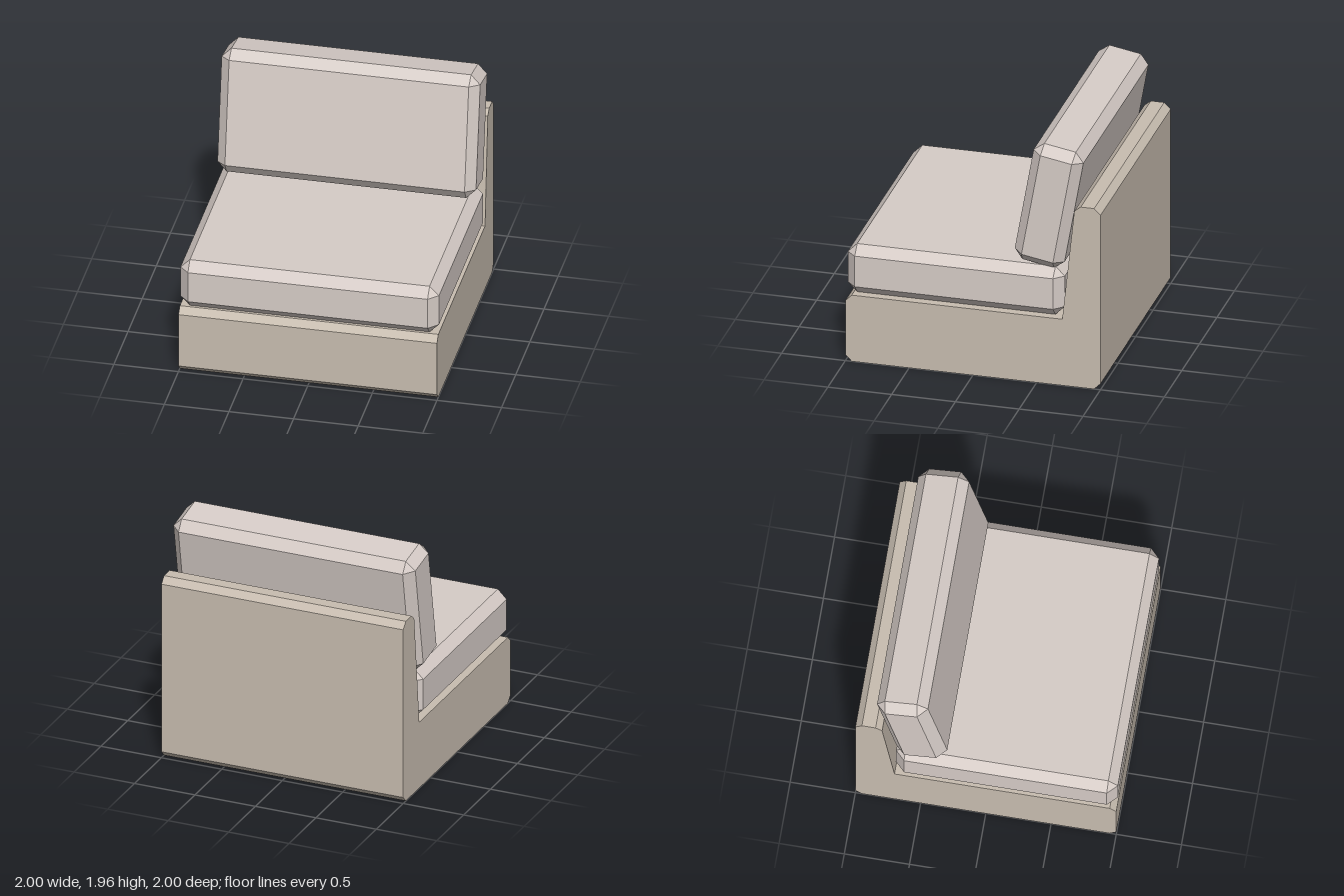
import * as THREE from 'three';
import { ConvexGeometry } from 'three/addons/geometries/ConvexGeometry.js';

const frameMaterial = new THREE.MeshStandardMaterial({ color: 0xc8bdb0, flatShading: true });
const cushionMaterial = new THREE.MeshStandardMaterial({ color: 0xd6ccc7, flatShading: true });

// Box with chamfered edges and triangular corners
function cushion(name, width, height, depth, bevel) {
  const half = [width / 2, height / 2, depth / 2];
  const points = [];
  for (const sx of [-1, 1]) for (const sy of [-1, 1]) for (const sz of [-1, 1]) {
    const signs = [sx, sy, sz];
    for (let axis = 0; axis < 3; axis++) {
      const p = signs.map((s, i) => s * (i === axis ? half[i] : half[i] - bevel));
      points.push(new THREE.Vector3(...p));
    }
  }
  const mesh = new THREE.Mesh(new ConvexGeometry(points), cushionMaterial);
  mesh.name = name;
  return mesh;
}

export function createModel() {
  const model = new THREE.Group();
  model.name = 'armlessSofaSeat';

  // L-shaped frame: side profile as (z, y), extruded across the width
  const profile = [
    [0.95, 0], [1, 0.05], [1, 0.5], [0.95, 0.55], [-0.7, 0.55], [-0.795, 1.46],
    [-0.845, 1.5], [-0.95, 1.5], [-1, 1.45], [-1, 0.05], [-0.95, 0],
  ].map(([z, y]) => new THREE.Vector2(z, y));
  const frameGeometry = new THREE.ExtrudeGeometry(new THREE.Shape(profile), { depth: 2, bevelEnabled: false });
  frameGeometry.translate(0, 0, -1).rotateY(-Math.PI / 2);
  const frame = new THREE.Mesh(frameGeometry, frameMaterial);
  frame.name = 'frame';
  model.add(frame);

  // Seat cushion lying on the base
  const seat = cushion('seatCushion', 2, 0.4, 1.7, 0.073);
  seat.position.set(0, 0.75, 0.15);
  model.add(seat);

  // Back cushion leaning towards the backrest
  const back = cushion('backCushion', 2, 0.996, 0.396, 0.073);
  back.position.set(0, 1.448, -0.577);
  back.rotation.x = THREE.MathUtils.degToRad(-10);
  model.add(back);

  return model;
}
